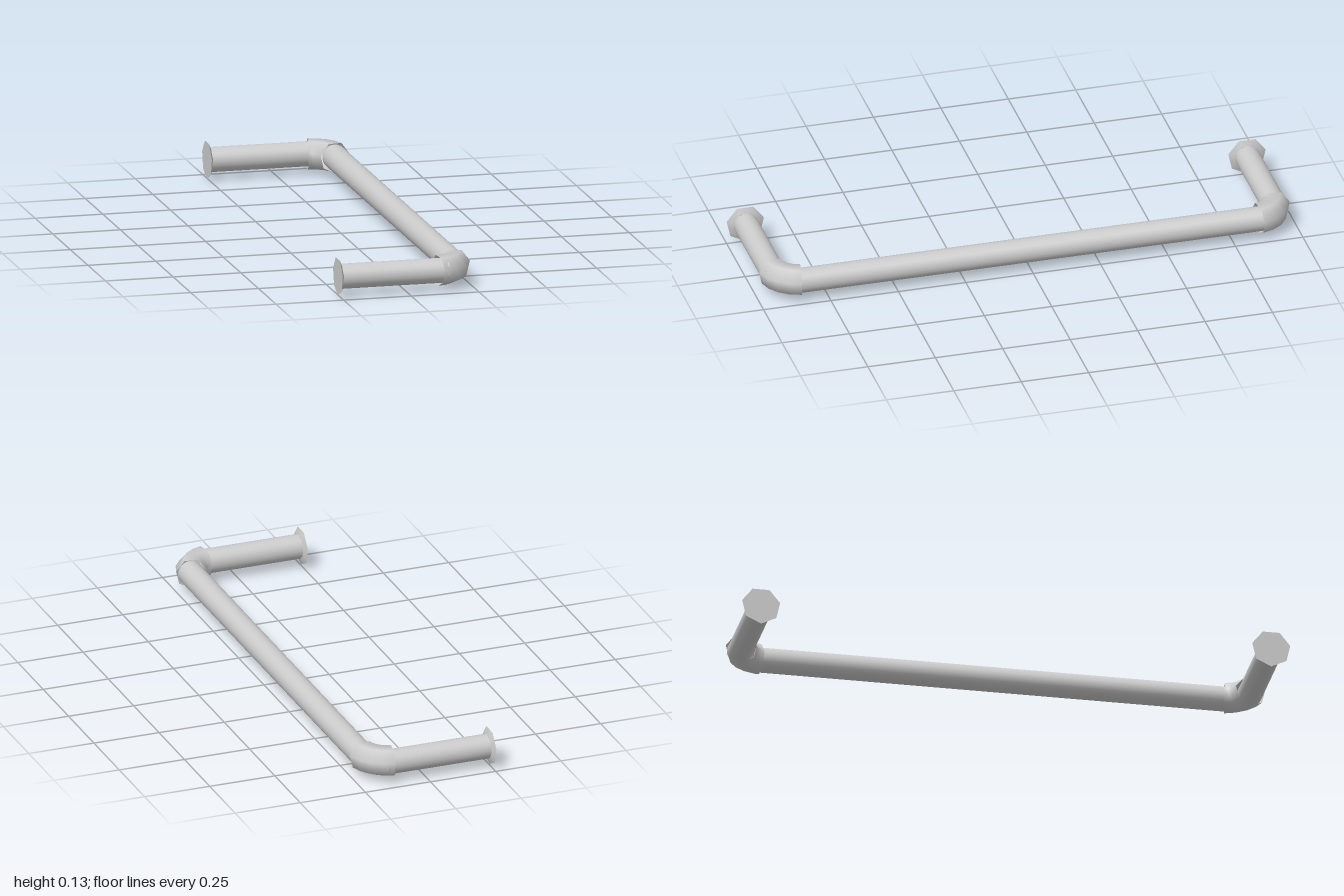
import * as THREE from 'three';

const AXIS_Y = 0.071, LEG_Z = 0.93, RAIL_X = 0.2, PIPE_R = 0.045;

// Arc in the horizontal plane joining a leg to the rail
class BendCurve extends THREE.Curve {
  constructor(side) {
    super();
    this.side = side;
  }
  getPoint(t, target = new THREE.Vector3()) {
    const a = THREE.MathUtils.degToRad(10 + 70 * t), r = 0.099;
    return target.set(0.101 + r * Math.sin(a), 0, this.side * (0.831 + r * Math.cos(a)));
  }
}

export function createModel() {
  const group = new THREE.Group();
  const material = new THREE.MeshStandardMaterial({ color: 0xcccccc });
  const openMaterial = new THREE.MeshStandardMaterial({ color: 0xcccccc, side: THREE.DoubleSide });

  const add = (name, geometry, x, z, mat = material) => {
    const mesh = new THREE.Mesh(geometry, mat);
    mesh.name = name;
    mesh.position.set(x, AXIS_Y, z);
    group.add(mesh);
  };

  // Long straight bar
  const rail = new THREE.CylinderGeometry(PIPE_R, PIPE_R, 1.72, 24).rotateX(Math.PI / 2);
  add('rail', rail, RAIL_X, 0);

  for (const side of [1, -1]) {
    const end = side > 0 ? 'front' : 'back';

    // Short leg towards the wall
    const leg = new THREE.CylinderGeometry(PIPE_R, PIPE_R, 0.4, 24).rotateZ(-Math.PI / 2);
    add(end + 'Leg', leg, -0.05, side * LEG_Z);

    // Seven-sided mounting flange, one corner pointing down
    const flange = new THREE.CylinderGeometry(0.048, 0.071, 0.01, 7, 1, false, Math.PI / 2)
      .rotateZ(-Math.PI / 2);
    add(end + 'Flange', flange, -0.248, side * LEG_Z);

    // Seven-sided elbow sleeve; the half turn puts a corner at the bottom
    const elbow = new THREE.TubeGeometry(new BendCurve(-side), 4, 0.057, 7).rotateX(Math.PI);
    add(end + 'Elbow', elbow, 0, 0, openMaterial);
  }
  return group;
}
